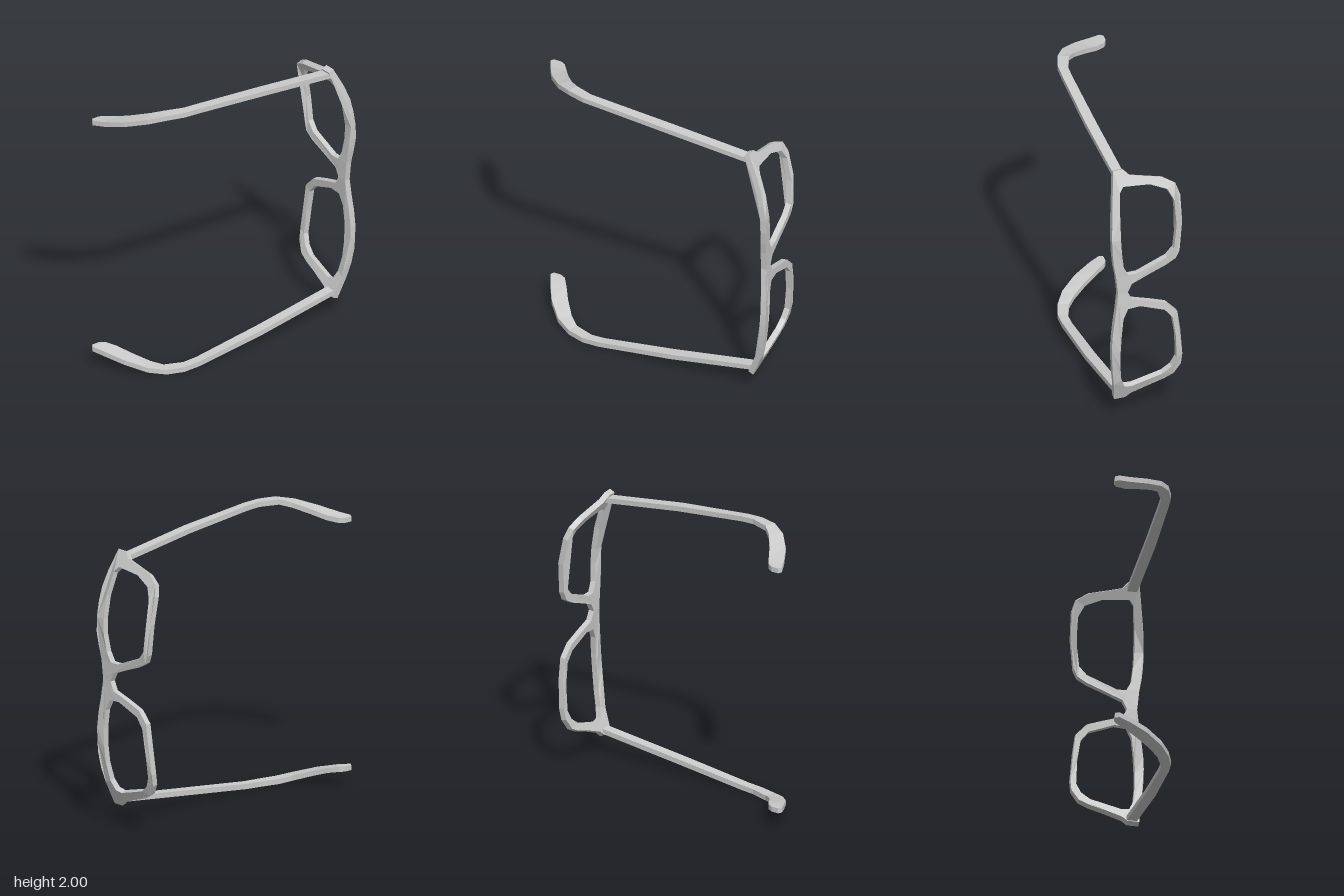
import * as THREE from 'three';

const material = new THREE.MeshStandardMaterial({ color: 0xcccccc, flatShading: true });

// Frame outline and lens openings as [z, y]
const OUTLINE = [
  [0.22, 1.91], [0.15, 1.91], [0.11, 1.87], [0, 1.845], [-0.115, 1.82], [-0.2, 1.77], [-0.225, 1.69],
  [-0.225, 1.5], [-0.205, 1.28], [-0.18, 1.22], [-0.115, 1.18], [0, 1.135], [0.13, 1.08], [0.16, 1.02],
  [0.13, 0.96], [0, 0.92], [-0.115, 0.88], [-0.19, 0.8], [-0.21, 0.655], [-0.23, 0.45], [-0.225, 0.365],
  [-0.18, 0.285], [-0.115, 0.25], [0, 0.21], [0.11, 0.165], [0.145, 0.13], [0.225, 0.13],
  [0.247, 0.285], [0.264, 0.39], [0.274, 0.5], [0.277, 0.59], [0.274, 0.68], [0.262, 0.79], [0.245, 0.895],
  [0.23, 1.02], [0.245, 1.16], [0.263, 1.25], [0.274, 1.345], [0.277, 1.45], [0.274, 1.56], [0.264, 1.66],
  [0.247, 1.77],
];
const LENSES = [
  [[0.195, 1.77], [0.165, 1.805], [-0.02, 1.79], [-0.14, 1.74], [-0.18, 1.66], [-0.185, 1.48], [-0.165, 1.3],
    [-0.115, 1.24], [0.09, 1.155], [0.155, 1.155], [0.19, 1.22], [0.207, 1.34], [0.213, 1.45], [0.21, 1.61]],
  [[0.195, 0.815], [0.16, 0.89], [0.075, 0.895], [-0.1, 0.83], [-0.155, 0.76], [-0.18, 0.6], [-0.19, 0.42],
    [-0.16, 0.35], [-0.1, 0.3], [0.115, 0.235], [0.165, 0.245], [0.195, 0.31], [0.21, 0.43], [0.214, 0.55],
    [0.208, 0.69]],
];

// Wrap of the frame's outer face as [y, x]
const WRAP = [[0.1, 0.775], [0.135, 0.795], [0.22, 0.83], [0.31, 0.86], [0.4, 0.881], [0.5, 0.896],
  [0.72, 0.907], [1.0, 0.892], [1.185, 0.894], [1.345, 0.909], [1.45, 0.905], [1.555, 0.89],
  [1.65, 0.872], [1.74, 0.843], [1.91, 0.76], [2.0, 0.715]];
function wrapAt(y) {
  let i = 0;
  while (i < WRAP.length - 2 && y > WRAP[i + 1][0]) i++;
  const [[y0, x0], [y1, x1]] = [WRAP[i], WRAP[i + 1]];
  return x0 + ((x1 - x0) * (y - y0)) / (y1 - y0);
}

function frameGeometry() {
  const toPoints = (list) => list.map(([z, y]) => new THREE.Vector2(-z, y));
  const shape = new THREE.Shape(toPoints(OUTLINE));
  // Openings run against the outline so their walls face into the opening
  shape.holes = LENSES.map((lens) => new THREE.Path(toPoints(lens).reverse()));
  const geometry = new THREE.ExtrudeGeometry(shape, { depth: 1, bevelEnabled: false });
  const pos = geometry.attributes.position;
  const thickness = 0.04, tilt = 0.03;
  // Bend the flat plate along the wrap curve, offsetting the inner face along its normal
  for (let i = 0; i < pos.count; i++) {
    const z = -pos.getX(i), y = pos.getY(i);
    const inset = thickness * (1 - pos.getZ(i));
    const slope = (wrapAt(y + 0.05) - wrapAt(y - 0.05)) / 0.1;
    const len = Math.hypot(1, slope);
    pos.setXYZ(i, wrapAt(y) + tilt * (z - 0.25) - inset / len, y + (inset * slope) / len, z);
  }
  geometry.computeVertexNormals();
  return geometry;
}

// Temple stations: outer edge x, z; inner edge x, z; centre height of upper and lower temple
const TEMPLE = [
  [0.77, 0.21, 0.77, 0.14, 1.853, 0.173],
  [0.17, 0.217, 0.17, 0.145, 1.928, 0.09],
  [-0.36, 0.2, -0.34, 0.137, 1.977, 0.024],
  [-0.48, 0.19, -0.44, 0.13, 1.982, 0.018],
  [-0.6, 0.15, -0.57, 0.08, 1.982, 0.022],
  [-0.71, 0.08, -0.635, 0.02, 1.96, 0.045],
  [-0.81, -0.04, -0.71, -0.085, 1.922, 0.085],
  [-0.88, -0.17, -0.765, -0.18, 1.89, 0.118],
  [-0.915, -0.25, -0.81, -0.25, 1.878, 0.132],
  [-0.9, -0.275, -0.845, -0.272, 1.876, 0.132],
];
function templeGeometry(heightIndex) {
  const half = 0.018, positions = [], index = [];
  TEMPLE.forEach((s, i) => {
    const [ox, oz, ix, iz] = s, y = s[heightIndex];
    positions.push(ox, y + half, oz, ix, y + half, iz, ix, y - half, iz, ox, y - half, oz);
    if (i === 0) return;
    for (let k = 0; k < 4; k++) {
      const a = (i - 1) * 4 + k, b = (i - 1) * 4 + ((k + 1) % 4);
      index.push(a, b, b + 4, a, b + 4, a + 4);
    }
  });
  const e = (TEMPLE.length - 1) * 4;
  index.push(0, 2, 1, 0, 3, 2, e, e + 1, e + 2, e, e + 2, e + 3);
  const geometry = new THREE.BufferGeometry();
  geometry.setAttribute('position', new THREE.Float32BufferAttribute(positions, 3));
  geometry.setIndex(index);
  geometry.computeVertexNormals();
  return geometry;
}

export function createModel() {
  const group = new THREE.Group();
  group.name = 'eyeglasses';
  const add = (name, geometry) => {
    const mesh = new THREE.Mesh(geometry, material);
    mesh.name = name;
    group.add(mesh);
  };
  add('lensFrame', frameGeometry());
  add('upperTemple', templeGeometry(4));
  add('lowerTemple', templeGeometry(5));
  return group;
}
